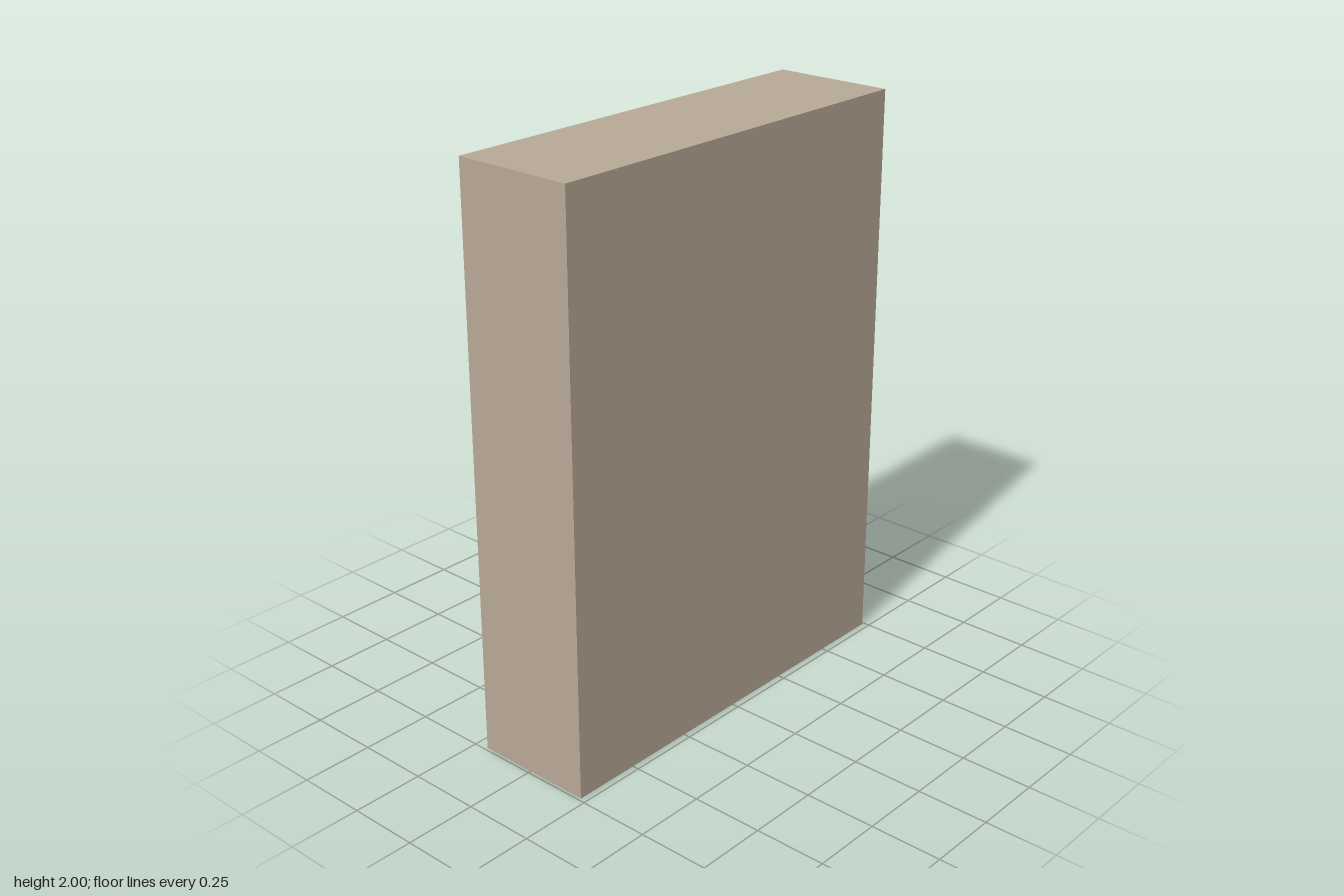
import * as THREE from 'three';

export function createModel() {
  const root = new THREE.Group();
  root.name = 'wallCabinet';
  const beige = new THREE.MeshStandardMaterial({ color: 0xb8a996 });
  beige.name = 'beige wood';
  const fabric = new THREE.MeshStandardMaterial({ color: 0xb8a996, side: THREE.DoubleSide });
  fabric.name = 'beige pleats';

  const W = 0.74, T = 0.014, BACK = 0.227, EDGE = -0.195, FACE = -0.203;
  const DIV = -0.225, POST = 0.408;

  // Box given by its limits on each axis
  function box(name, x0, x1, y0, y1, z0 = EDGE, z1 = BACK) {
    const m = new THREE.Mesh(new THREE.BoxGeometry(x1 - x0, y1 - y0, z1 - z0), beige);
    m.position.set((x0 + x1) / 2, (y0 + y1) / 2, (z0 + z1) / 2);
    m.name = name;
    root.add(m);
  }
  const panel = (name, x, y0, y1) => box(name, x - T / 2, x + T / 2, y0, y1);
  const shelf = (name, x0, x1, top) => box(name, x0, x1, top - T, top);

  // Thin front with a narrow gap around it
  const GAP = 0.003;
  function front(name, x0, x1, y0, y1) {
    box(name, x0 + GAP, x1 - GAP, y0 + GAP, y1 - GAP, FACE, EDGE);
  }
  function knob(x, y) {
    const g = new THREE.CylinderGeometry(0.009, 0.009, 0.024, 12).rotateX(Math.PI / 2);
    const m = new THREE.Mesh(g, beige);
    m.position.set(x, y, FACE - 0.012);
    m.name = 'knob';
    root.add(m);
  }

  // Carcass
  box('backPanel', -W, W, 0, 2, BACK - T, BACK);
  box('leftSide', W - T, W, 0, 2, FACE);
  box('rightSide', -W, -W + T, 0, 2, FACE);
  box('topPanel', -W, W, 2 - T, 2, FACE);
  panel('divider', DIV, 0, 2);
  panel('deskPost', POST, 0, 0.88);
  shelf('leftBase', POST, W, T);
  shelf('rightBase', -W, DIV, T);

  // Shelves
  for (const y of [1.584, 1.304, 0.887]) {
    shelf('shelf', DIV, W, y);
    shelf('columnShelf', -W, DIV, y);
  }
  shelf('deskTop', DIV, POST, 0.565);

  // Overhead doors
  const doorX = [W, 0.41, 0.09, DIV];
  for (let i = 0; i < 3; i++) front('overheadDoor', doorX[i + 1], doorX[i], 1.29, 1.584);
  for (const x of [0.44, 0.122, 0.06]) knob(x, 1.325);

  // Paired doors of the tall column
  const mid = -0.475;
  for (const [y0, y1, ky] of [[1.29, 1.584, 1.325], [0.88, 1.29, 1.08]]) {
    front('columnDoor', -W, mid, y0, y1);
    front('columnDoor', mid, DIV, y0, y1);
    knob(mid - 0.032, ky);
    knob(mid + 0.032, ky);
  }

  // Drawer stacks
  function drawers(x0, x1, kx, levels) {
    for (let i = 0; i + 1 < levels.length; i++) {
      front('drawer', x0, x1, levels[i + 1], levels[i]);
      knob(kx, levels[i] - 0.03);
    }
  }
  drawers(POST, W, 0.574, [0.88, 0.56, 0.405, 0]);
  drawers(-W, DIV, mid, [0.88, 0.725, 0.56, 0.405, 0]);

  // Pleated curtain with uneven folds, deeper towards the hem
  const cw = 0.495, ch = 0.395;
  const cloth = new THREE.PlaneGeometry(cw, ch, 120, 10).rotateY(Math.PI);
  const p = cloth.attributes.position;
  for (let i = 0; i < p.count; i++) {
    const x = p.getX(i), v = 0.5 - p.getY(i) / ch;
    const fold = Math.sin(x * 165 + 1.3 * Math.sin(x * 31) + 0.5 * v);
    const ripple = Math.sin(x * 290 + 3 * v) * 0.35;
    p.setZ(i, (fold + ripple) * (0.003 + 0.002 * v));
  }
  cloth.computeVertexNormals();
  const curtain = new THREE.Mesh(cloth, fabric);
  curtain.position.set((DIV - W) / 2, 1.787, -0.201);
  curtain.name = 'pleatedCurtain';
  root.add(curtain);

  return root;
}
